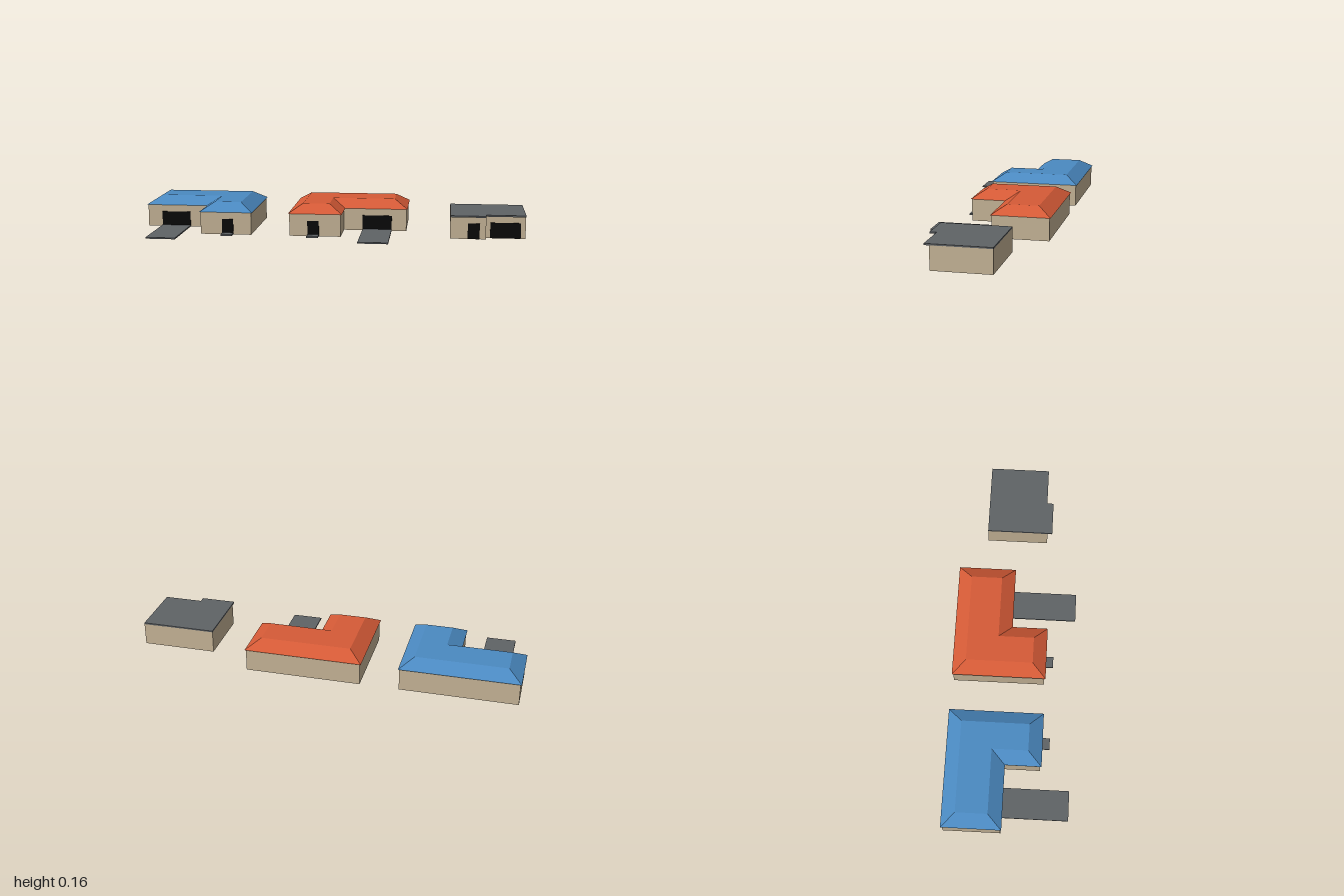
import * as THREE from 'three';

const mat = (name, color, side = THREE.FrontSide) => {
  const m = new THREE.MeshStandardMaterial({ color, side });
  m.name = name;
  return m;
};
const wallMat = mat('beige wall', 0xc9b799, THREE.DoubleSide);
const blueMat = mat('blue roof', 0x4b8ac2);
const orangeMat = mat('orange roof', 0xd65b37);
const greyMat = mat('grey concrete', 0x5f6366);
const doorMat = mat('black door', 0x0a0a0a);

const WALL_TOP = 0.116, ROOF_TOP = 0.16, HIP = 0.07, EAVE = 0.006;

function mesh(name, geometry, material) {
  const m = new THREE.Mesh(geometry, material);
  m.name = name;
  return m;
}

function box(name, material, x0, x1, y0, y1, z0, z1) {
  const m = mesh(name, new THREE.BoxGeometry(x1 - x0, y1 - y0, z1 - z0), material);
  m.position.set((x0 + x1) / 2, (y0 + y1) / 2, (z0 + z1) / 2);
  return m;
}

// Door plate straddling a wall that lies at the given z
const door = (name, x0, x1, z) => box(name, doorMat, x0, x1, 0, 0.08, z - 0.003, z + 0.003);

// Band of flat faces between two matching outlines of [x, z] points
function band(lower, y0, upper, y1, out = []) {
  lower.forEach(([ax, az], i) => {
    const j = (i + 1) % lower.length;
    const [bx, bz] = lower[j], [cx, cz] = upper[j], [dx, dz] = upper[i];
    out.push(ax, y0, az, bx, y0, bz, cx, y1, cz, ax, y0, az, cx, y1, cz, dx, y1, dz);
  });
  return out;
}

// Level face filling an outline, facing up or down
function cap(points, y, up, out = []) {
  const v = points.map(([x, z]) => new THREE.Vector2(x, -z));
  for (const tri of THREE.ShapeUtils.triangulateShape(v, [])) {
    const [a, b, c] = tri.map((i) => v[i]);
    const ccw = (b.x - a.x) * (c.y - a.y) - (b.y - a.y) * (c.x - a.x) > 0;
    for (const p of ccw === up ? [a, b, c] : [a, c, b]) out.push(p.x, y, -p.y);
  }
  return out;
}

function solid(positions) {
  const g = new THREE.BufferGeometry();
  g.setAttribute('position', new THREE.Float32BufferAttribute(positions, 3));
  g.computeVertexNormals();
  return g;
}

// L-shaped house with a hipped roof; side = -1 mirrors it left to right
function hippedHouse(name, centreX, side, roofMat) {
  const house = new THREE.Group();
  house.name = name;

  // L outline shrunk by d, counter-clockwise seen from above
  const outline = (d) => {
    const p = [
      [-0.3025 + d, -0.316 + d], [-0.3025 + d, -0.015 - d], [0.0255 + d, -0.015 - d],
      [0.0255 + d, 0.169 - d], [0.3025 - d, 0.169 - d], [0.3025 - d, -0.316 + d],
    ].map(([x, z]) => [centreX + side * x, z]);
    return side < 0 ? p.reverse() : p;
  };
  const spanX = (a, b) => [centreX + side * a, centreX + side * b].sort((m, n) => m - n);

  // Walls open at the floor, with a ceiling
  const walls = outline(EAVE);
  house.add(mesh('walls', solid(band(walls, 0, walls, WALL_TOP)), wallMat));
  house.add(mesh('ceiling', solid(cap(walls, WALL_TOP - 0.001, false)), wallMat));

  // Hipped roof with a flat crown
  const eave = outline(0), crown = outline(HIP);
  const roof = band(eave, WALL_TOP, crown, ROOF_TOP);
  cap(crown, ROOF_TOP, true, roof);
  cap(eave, WALL_TOP, false, roof);
  house.add(mesh('roof', solid(roof), roofMat));

  // Garage door with driveway, front door with path
  const [g0, g1] = spanX(-0.22, -0.067), [d0, d1] = spanX(0.144, 0.203);
  house.add(door('garageDoor', g0, g1, -0.021));
  house.add(box('driveway', greyMat, g0, g1, 0, 0.007, -0.021, 0.316));
  house.add(door('frontDoor', d0, d1, 0.163));
  house.add(box('frontPath', greyMat, d0, d1, 0, 0.009, 0.163, 0.207));
  return house;
}

// Small house with a stepped front and a flat slab roof
function flatHouse() {
  const house = new THREE.Group();
  house.name = 'flatRoofHouse';
  const outline = (overhang) => [
    [0.619, -0.178], [0.619, 0.145 + overhang], [0.8, 0.145 + overhang],
    [0.8, 0.111 + overhang], [1, 0.111 + overhang], [1, -0.178],
  ];
  const walls = outline(0), slab = outline(0.025);
  house.add(mesh('walls', solid(band(walls, 0, walls, WALL_TOP)), wallMat));
  const roof = band(slab, 0.115, slab, 0.123);
  cap(slab, 0.123, true, roof);
  cap(slab, 0.115, false, roof);
  house.add(mesh('slabRoof', solid(roof), greyMat));
  house.add(door('frontDoor', 0.708, 0.768, 0.145));
  house.add(door('garageDoor', 0.822, 0.976, 0.111));
  return house;
}

export function createModel() {
  const model = new THREE.Group();
  model.name = 'houses';
  model.add(hippedHouse('blueRoofHouse', -0.6975, 1, blueMat));
  model.add(hippedHouse('orangeRoofHouse', 0.0945, -1, orangeMat));
  model.add(flatHouse());
  return model;
}
